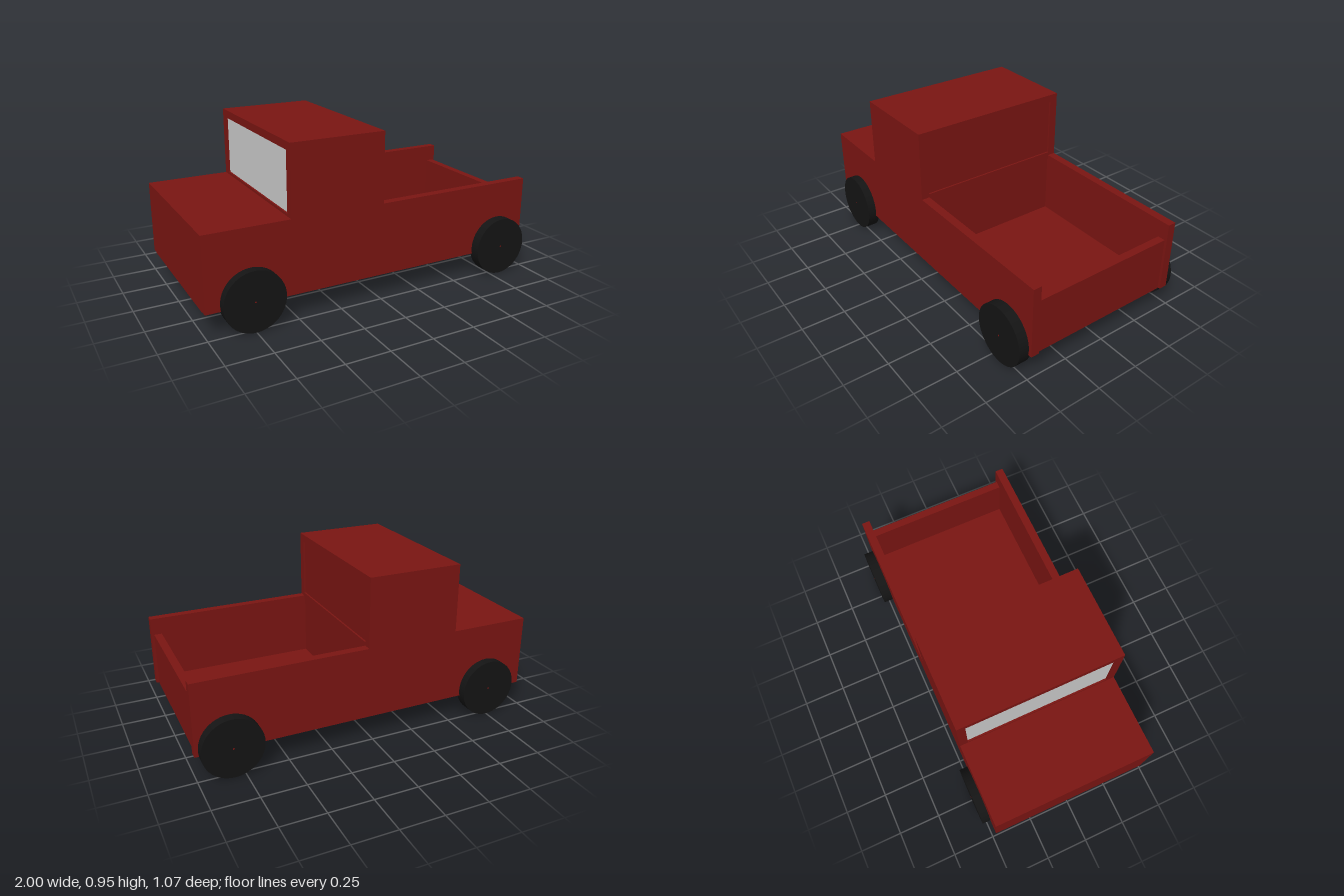
import * as THREE from 'three';

const red = new THREE.MeshStandardMaterial({ color: 0x7a1512 });
const black = new THREE.MeshStandardMaterial({ color: 0x141414 });
const grey = new THREE.MeshStandardMaterial({ color: 0xcccccc });

const INNER = 0.43; // half width between the side panels
const OUTER = 0.478; // half width of the body

export function createModel() {
  const model = new THREE.Group();

  function add(name, geometry, material, x = 0, y = 0, z = 0) {
    const mesh = new THREE.Mesh(geometry, material);
    mesh.name = name;
    mesh.position.set(x, y, z);
    model.add(mesh);
    return mesh;
  }

  // Box spanning the gap between the side panels
  function slab(name, x0, x1, y0, y1, material = red) {
    add(name, new THREE.BoxGeometry(x1 - x0, y1 - y0, INNER * 2), material, (x0 + x1) / 2, (y0 + y1) / 2);
  }

  // Side panels: bonnet, cab and bed in one outline
  const outline = new THREE.Shape([
    [-1, 0.135], [1, 0.135], [1, 0.55], [0.02, 0.55],
    [0.02, 0.95], [-0.525, 0.95], [-0.525, 0.555], [-1, 0.555],
  ].map(([x, y]) => new THREE.Vector2(x, y)));
  const sideGeometry = new THREE.ExtrudeGeometry(outline, { depth: OUTER - INNER, bevelEnabled: false });
  add('leftSidePanel', sideGeometry, red, 0, 0, INNER);
  add('rightSidePanel', sideGeometry, red, 0, 0, -OUTER);

  // Floor, bonnet and tailgate
  slab('floor', -1, 0.985, 0.13, 0.175);
  slab('bonnet', -1, -0.525, 0.175, 0.555);
  slab('tailgate', 0.94, 0.985, 0.175, 0.45);

  // Cab: roof, rear wall with sill and shallow recess, windshield
  slab('roof', -0.525, 0.02, 0.905, 0.95);
  slab('cabRearWall', -0.03, 0.015, 0.175, 0.525);
  slab('rearSill', -0.03, 0.02, 0.525, 0.57);
  slab('rearCabPanel', -0.03, 0.01, 0.57, 0.905);
  slab('windshieldSill', -0.525, -0.48, 0.53, 0.57);
  slab('windshield', -0.515, -0.49, 0.57, 0.905, grey);

  // Wheels with small axle tips
  const wheelGeometry = new THREE.CylinderGeometry(0.17, 0.17, 0.07, 48).rotateX(Math.PI / 2);
  const tipGeometry = new THREE.CylinderGeometry(0.005, 0.005, 0.072, 8).rotateX(Math.PI / 2);
  for (const [end, x, z] of [['front', -0.75, 0.492], ['rear', 0.81, 0.5]]) {
    for (const [side, s] of [['Left', 1], ['Right', -1]]) {
      add(`${end}${side}Wheel`, wheelGeometry, black, x, 0.17, s * z);
      add(`${end}${side}AxleTip`, tipGeometry, red, x, 0.17, s * z);
    }
  }

  return model;
}
